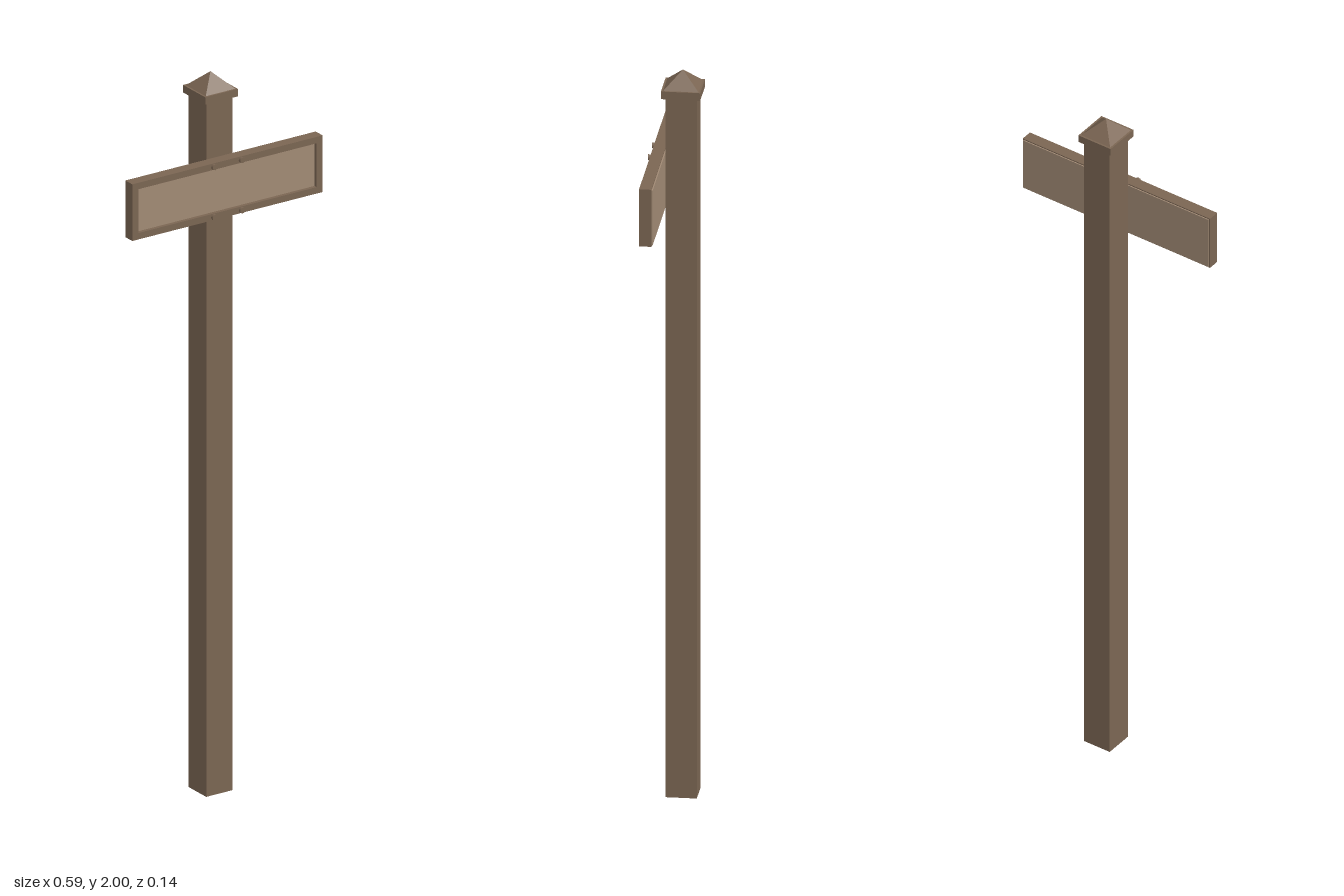
import * as THREE from 'three';

const wood = new THREE.MeshStandardMaterial({ color: 0x7b6653 });
wood.name = 'brown wood';
const paleWood = new THREE.MeshStandardMaterial({ color: 0xa28b75 });
paleWood.name = 'pale wood';

const POST_Z = -0.018;
const SIGN_Y = 1.7;

export function createModel() {
  const model = new THREE.Group();
  model.name = 'signpost';

  const add = (name, geometry, material, x, y, z) => {
    const mesh = new THREE.Mesh(geometry, material);
    mesh.name = name;
    mesh.position.set(x, y, z);
    model.add(mesh);
    return mesh;
  };

  // Square post and its cap
  add('post', new THREE.BoxGeometry(0.082, 1.94, 0.082), wood, 0, 0.97, POST_Z);
  add('capSlab', new THREE.BoxGeometry(0.102, 0.021, 0.102), wood, 0, 1.9455, POST_Z);
  const pyramid = new THREE.ConeGeometry(0.046 * Math.SQRT2, 0.044, 4, 1, true).rotateY(Math.PI / 4).toNonIndexed();
  pyramid.computeVertexNormals();
  add('capPyramid', pyramid, wood, 0, 1.978, POST_Z);

  // Sign board, showing at the back and recessed at the front
  add('signBoard', new THREE.BoxGeometry(0.588, 0.152, 0.025), paleWood, 0, SIGN_Y, 0.0375);

  // Frame around the board
  const rectangle = (Type, w, h) => new Type([
    new THREE.Vector2(-w, -h), new THREE.Vector2(w, -h),
    new THREE.Vector2(w, h), new THREE.Vector2(-w, h),
  ]);
  const outline = rectangle(THREE.Shape, 0.297, 0.079);
  outline.holes.push(rectangle(THREE.Path, 0.278, 0.061));
  add('signFrame', new THREE.ExtrudeGeometry(outline, { depth: 0.032, bevelEnabled: false }), wood, 0, SIGN_Y, 0.028);

  // Four bolts through the frame
  const bolt = new THREE.CylinderGeometry(0.008, 0.008, 0.012, 8).rotateX(Math.PI / 2);
  for (const x of [-0.043, 0.043]) {
    for (const dy of [-0.07, 0.07]) add('bolt', bolt, wood, x, SIGN_Y + dy, 0.061);
  }

  return model;
}
